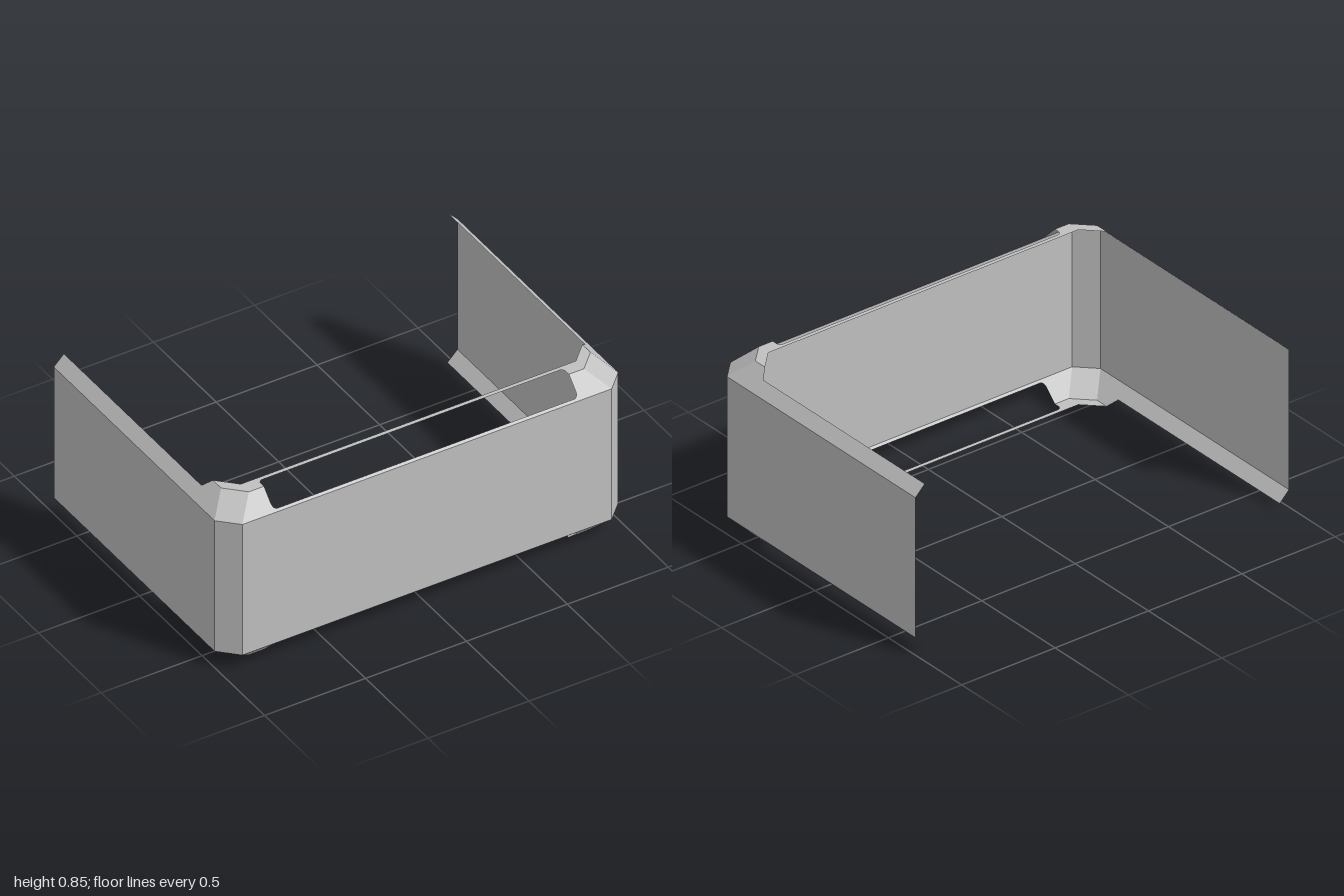
import * as THREE from 'three';

const H = 0.853;             // full height
const D = 0.685;             // half depth
const C = 0.085;             // chamfer and flange inset
const Y0 = C, Y1 = H - C;    // wall bottom and top

export function createModel() {
  const model = new THREE.Group();
  const grey = new THREE.MeshStandardMaterial({ color: 0xc0c0c0, side: THREE.DoubleSide });
  grey.name = 'plain grey';

  // Flat sheet from a 2D outline, placed in space by a mapping rule
  function sheet(name, outline, place) {
    const shape = outline instanceof THREE.Shape
      ? outline : new THREE.Shape(outline.map(([a, b]) => new THREE.Vector2(a, b)));
    const geo = new THREE.ShapeGeometry(shape, 6).toNonIndexed();
    const pos = geo.attributes.position;
    for (let i = 0; i < pos.count; i++) pos.setXYZ(i, ...place(pos.getX(i), pos.getY(i)));
    geo.computeVertexNormals();
    const mesh = new THREE.Mesh(geo, grey);
    mesh.name = name;
    model.add(mesh);
  }
  const rect = (a0, b0, a1, b1) => [[a0, b0], [a1, b0], [a1, b1], [a0, b1]];

  // Sloped front flange with the lower half of the slot notched out
  const slope = new THREE.Shape();
  const sx = 0.755, r = 0.02, low = 0.01;
  slope.moveTo(-1 + C, 0);
  slope.lineTo(1 - C, 0);
  slope.lineTo(1 - 2 * C, C);
  slope.lineTo(sx, C);
  slope.lineTo(sx, low + r);
  slope.absarc(sx - r, low + r, r, 0, -Math.PI / 2, true);
  slope.lineTo(-sx + r, low);
  slope.absarc(-sx + r, low + r, r, -Math.PI / 2, -Math.PI, true);
  slope.lineTo(-sx, C);
  slope.lineTo(-1 + 2 * C, C);

  // Flat rim: corner pads joined by a narrow bar behind the slot
  const rim = new THREE.Shape();
  const zr = D - C, zb = 0.535, zs = 0.555;
  rim.moveTo(sx, zr);
  rim.lineTo(1 - 2 * C, zr);
  rim.lineTo(1 - C, zr - C);
  rim.lineTo(1 - C, 0.45);
  rim.lineTo(1 - 2 * C, zb);
  rim.lineTo(-1 + 2 * C, zb);
  rim.lineTo(-1 + C, 0.45);
  rim.lineTo(-1 + C, zr - C);
  rim.lineTo(-1 + 2 * C, zr);
  rim.lineTo(-sx, zr);
  rim.lineTo(-sx, zs + r);
  rim.absarc(-sx + r, zs + r, r, Math.PI, Math.PI * 1.5, false);
  rim.lineTo(sx - r, zs);
  rim.absarc(sx - r, zs + r, r, -Math.PI / 2, 0, false);

  // Side flange outline in (z, inset)
  const sideFlange = [[zr, 0], [-D, 0], [-D, 0.05], [0.415, 0.05], [0.45, C], [zr - C, C]];

  // Walls
  sheet('frontWall', rect(-1 + C, Y0, 1 - C, Y1), (x, y) => [x, y, D]);
  for (const [side, s] of [['left', 1], ['right', -1]]) {
    sheet(side + 'Wall', rect(-D, Y0, zr, Y1), (z, y) => [s, y, z]);
    sheet(side + 'CornerWall', rect(0, Y0, C, Y1), (t, y) => [s * (1 - C + t), y, D - t]);
  }

  // Flanges, mirrored top and bottom
  for (const top of [true, false]) {
    const label = top ? 'top' : 'bottom';
    const level = (t) => (top ? Y1 + t : Y0 - t);
    sheet(label + 'FrontFlange', slope, (x, t) => [x, level(t), D - t]);
    sheet(label + 'Rim', rim, (x, z) => [x, level(C), z]);
    for (const [side, s] of [['Left', 1], ['Right', -1]]) {
      sheet(label + side + 'Flange', sideFlange, (z, t) => [s * (1 - t), level(t), z]);
      // a runs along the chamfer, t rises inward over it
      sheet(label + side + 'CornerFlange', rect(0, 0, C, C),
        (a, t) => [s * (1 - C + a - t), level(t), D - a - t]);
    }
  }
  return model;
}
